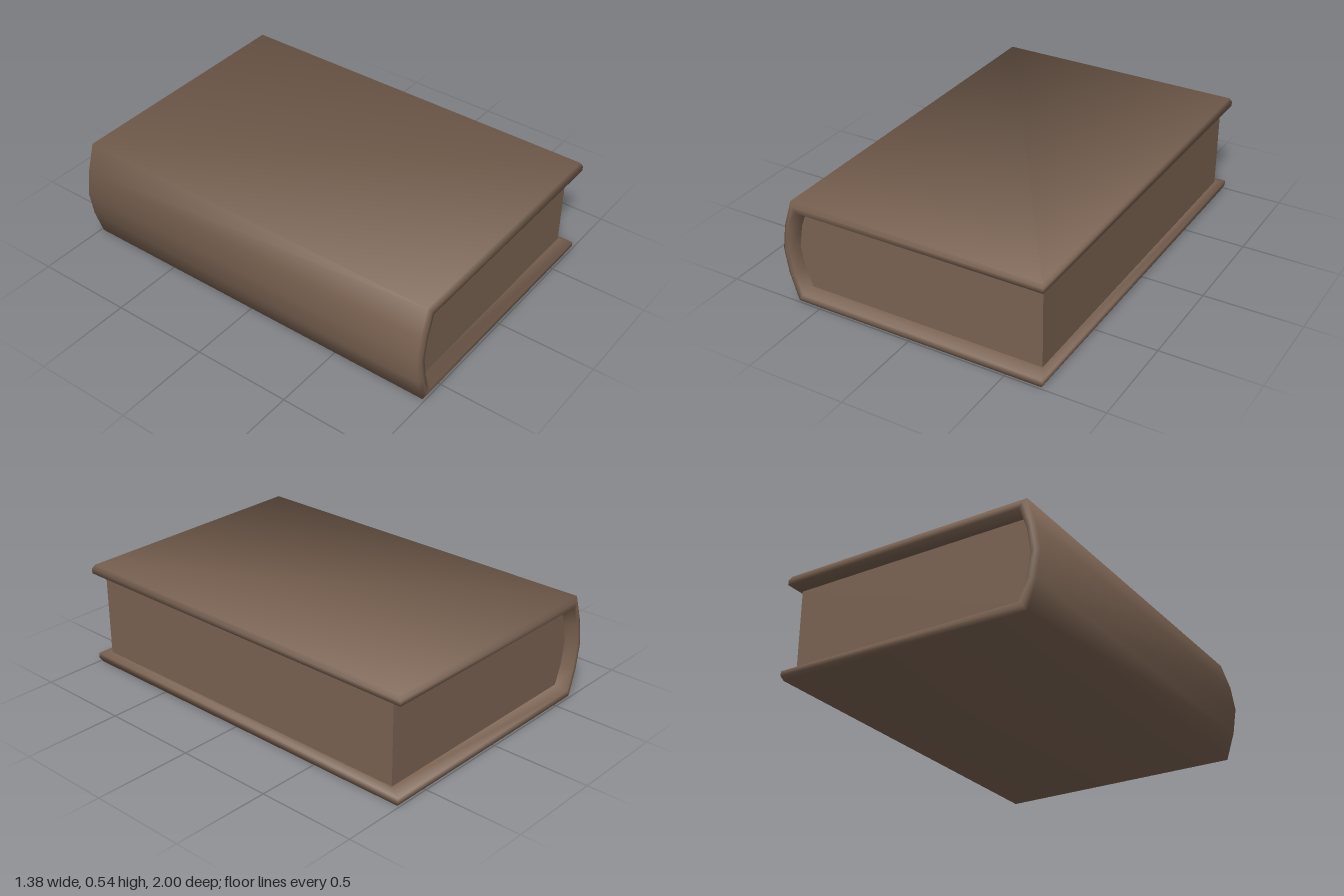
import * as THREE from 'three';

// Upper half of the cover path, from the free edge to the middle of the spine:
// [outer x, outer y, inner x, inner y]
const MID = 0.27;
const half = [
  [0.68, 0.54, 0.655, 0.478],
  [-0.625, 0.54, -0.58, 0.478],
  [-0.67, 0.4, -0.615, 0.385],
  [-0.69, MID, -0.635, MID],
];
const path = [
  ...half,
  ...half.slice(0, -1).reverse().map(([ox, oy, ix, iy]) => [ox, 2 * MID - oy, ix, 2 * MID - iy]),
];

// Cover thickness section: share of the way inward, and distance along z
const section = [[0, 0.988], [0.35, 1], [0.75, 1], [1, 0.935]];
const ring = [
  ...section.map(([t, z]) => [t, -z]),
  ...section.slice().reverse(),
];

// Mesh from quads, with softly averaged normals on shared corners
function smoothQuads(points, quads) {
  const normals = points.map(() => new THREE.Vector3());
  const index = [];
  for (const [a, b, c, d] of quads) {
    const n = new THREE.Vector3().subVectors(points[c], points[a])
      .cross(new THREE.Vector3().subVectors(points[d], points[b])).normalize();
    for (const i of [a, b, c, d]) normals[i].add(n);
    index.push(a, b, c, a, c, d);
  }
  const geometry = new THREE.BufferGeometry().setFromPoints(points);
  geometry.setAttribute('normal', new THREE.Float32BufferAttribute(
    normals.flatMap((n) => n.normalize().toArray()), 3));
  geometry.setIndex(index);
  return geometry;
}

function coverGeometry() {
  const points = [];
  const quads = [];
  const size = ring.length;
  const last = path.length - 1;
  path.forEach(([ox, oy, ix, iy], i) => {
    for (const [t, z] of ring) {
      // The free edges bulge out a little between outer and inner face
      const bulge = (i === 0 || i === last) && t > 0 && t < 1;
      const x = bulge ? 0.69 : THREE.MathUtils.lerp(ox, ix, t);
      points.push(new THREE.Vector3(x, THREE.MathUtils.lerp(oy, iy, t), z));
    }
  });
  for (let i = 0; i < last; i++) {
    for (let k = 0; k < size; k++) {
      const next = (k + 1) % size;
      const a = i * size;
      quads.push([a + k, a + next, a + size + next, a + size + k]);
    }
  }
  // Close the two free edges
  const e = last * size;
  for (let k = 0; k < 3; k++) {
    quads.push([k, 7 - k, 6 - k, k + 1]);
    quads.push([e + k, e + k + 1, e + 6 - k, e + 7 - k]);
  }
  return smoothQuads(points, quads);
}

// Page block fills the inside of the cover
function pagesGeometry() {
  const shape = new THREE.Shape(path.map(([, , x, y]) => new THREE.Vector2(x, y)));
  const geometry = new THREE.ExtrudeGeometry(shape, { depth: 1.87, bevelEnabled: false });
  return geometry.translate(0, 0, -0.935);
}

export function createModel() {
  const brown = new THREE.MeshStandardMaterial({ color: 0x7b6352 });
  brown.name = 'brown';

  const book = new THREE.Group();
  book.name = 'book';

  const cover = new THREE.Mesh(coverGeometry(), brown);
  cover.name = 'cover';
  const pages = new THREE.Mesh(pagesGeometry(), brown);
  pages.name = 'pages';

  book.add(cover, pages);
  return book;
}
